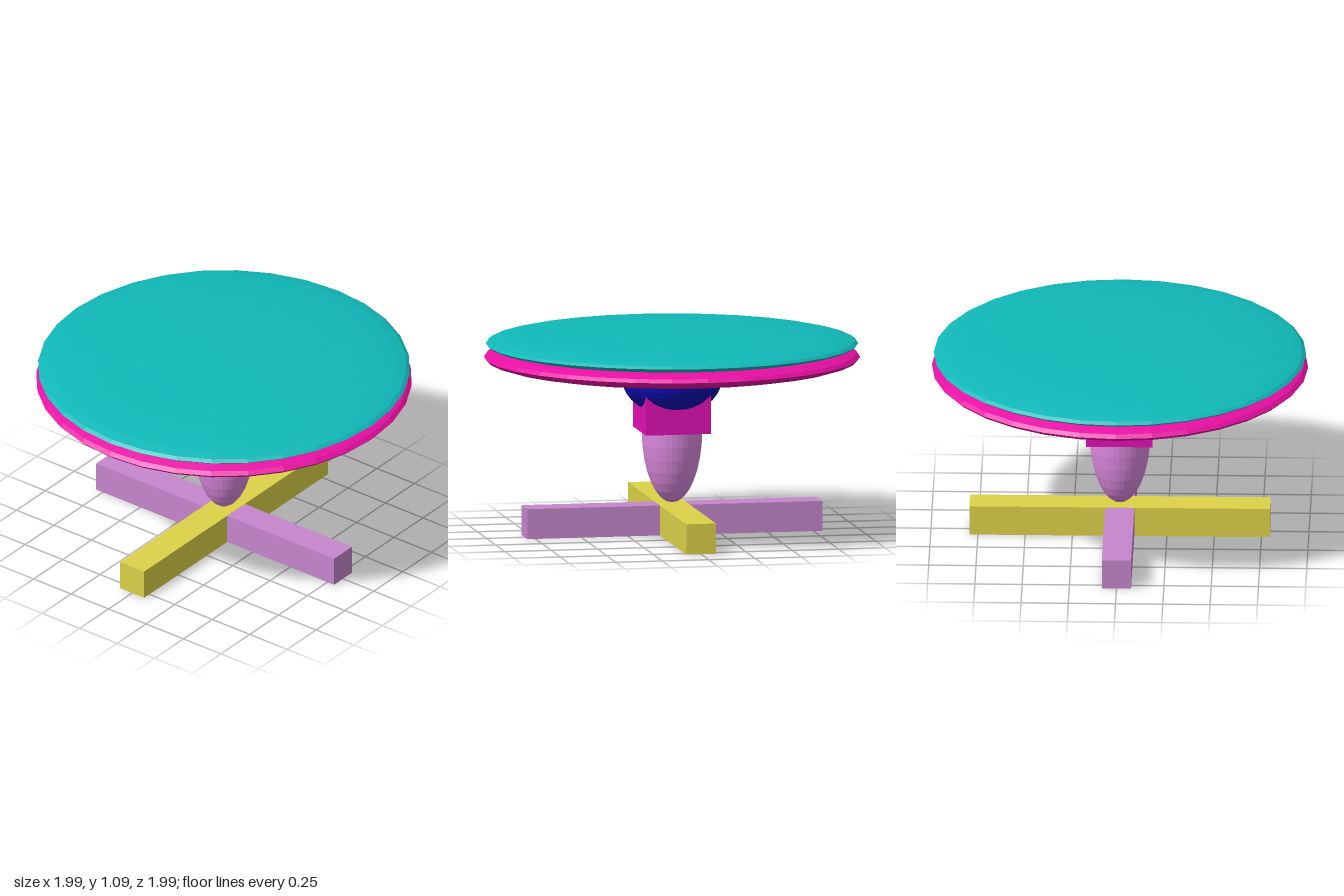
import * as THREE from 'three';

export function createModel() {
  const group = new THREE.Group();

  function add(name, geometry, color, y) {
    const material = new THREE.MeshStandardMaterial({ color, flatShading: true });
    const mesh = new THREE.Mesh(geometry, material);
    mesh.name = name;
    mesh.position.y = y;
    group.add(mesh);
    return mesh;
  }

  // Sphere stretched to a horizontal radius and a vertical half height
  const ellipsoid = (radius, halfHeight) =>
    new THREE.SphereGeometry(1, 32, 16).scale(radius, halfHeight, radius);

  // Crossed base bars; the lower one is a hair thinner so the overlap stays clean
  add('baseBarFrontBack', new THREE.BoxGeometry(0.16, 0.162, 1.59), 0xdcd248, 0.081);
  add('baseBarSideways', new THREE.BoxGeometry(1.59, 0.16, 0.155), 0xc586cc, 0.081);

  // Pedestal: egg-shaped stem, square collar, rounded bowl
  add('stem', ellipsoid(0.16, 0.385), 0xdd8ae0, 0.55);
  add('collar', new THREE.BoxGeometry(0.35, 0.35, 0.35), 0xe20fb4, 0.725);
  add('bowl', ellipsoid(0.263, 0.15 + 0.035), 0x0c0cb4, 0.86 - 0.0).position.y = 0.86 - 0.0;
  group.getObjectByName('bowl').position.y = 0.675 + 0.15 + 0.035 - 0.04;

  // Two stacked flattened discs forming the top
  add('lowerDisc', ellipsoid(0.995, 0.095), 0xe80fa4, 0.943);
  add('upperDisc', ellipsoid(0.985, 0.07), 0x10b8b8, 1.016);

  return group;
}
